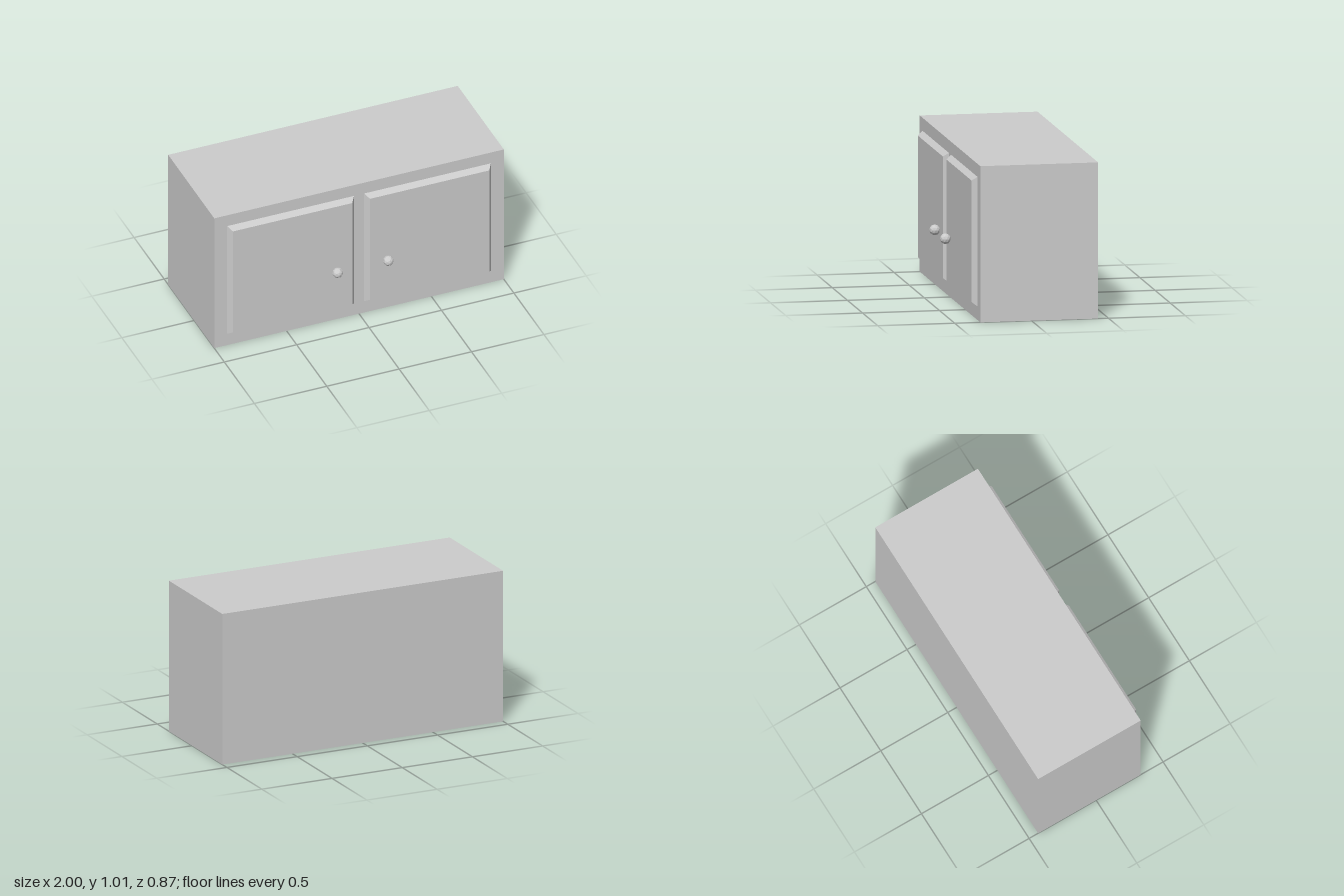
import * as THREE from 'three';

const BODY = { w: 2, h: 1.01, back: -0.433, front: 0.333 };
const DOOR = { w: 0.876, h: 0.838, depth: 0.035, bevel: 0.026, x: 0.473, y: 0.507 };
const KNOB = { r: 0.035, x: 0.175, y: 0.408, z: 0.398 };

const material = new THREE.MeshStandardMaterial({ color: 0xcccccc, flatShading: true });

function part(name, geometry, x, y, z) {
  const mesh = new THREE.Mesh(geometry, material);
  mesh.name = name;
  mesh.position.set(x, y, z);
  return mesh;
}

// Raised door panel: a box whose front corners are drawn inwards to slope its rim
function doorGeometry() {
  const geometry = new THREE.BoxGeometry(DOOR.w, DOOR.h, DOOR.depth);
  const p = geometry.attributes.position;
  for (let i = 0; i < p.count; i++) {
    if (p.getZ(i) < 0) continue;
    p.setX(i, p.getX(i) - Math.sign(p.getX(i)) * DOOR.bevel);
    p.setY(i, p.getY(i) - Math.sign(p.getY(i)) * DOOR.bevel);
  }
  geometry.computeVertexNormals();
  return geometry;
}

export function createModel() {
  const cabinet = new THREE.Group();
  cabinet.name = 'cabinet';

  // Carcass
  const depth = BODY.front - BODY.back;
  cabinet.add(part('body', new THREE.BoxGeometry(BODY.w, BODY.h, depth),
    0, BODY.h / 2, (BODY.front + BODY.back) / 2));

  // Mirrored doors, each with a faceted knob near the centre stile
  const door = doorGeometry();
  const knob = new THREE.IcosahedronGeometry(KNOB.r, 1);
  for (const [side, s] of [['left', 1], ['right', -1]]) {
    cabinet.add(part(side + 'Door', door, s * DOOR.x, DOOR.y, BODY.front + DOOR.depth / 2));
    cabinet.add(part(side + 'Knob', knob, s * KNOB.x, KNOB.y, KNOB.z));
  }
  return cabinet;
}
